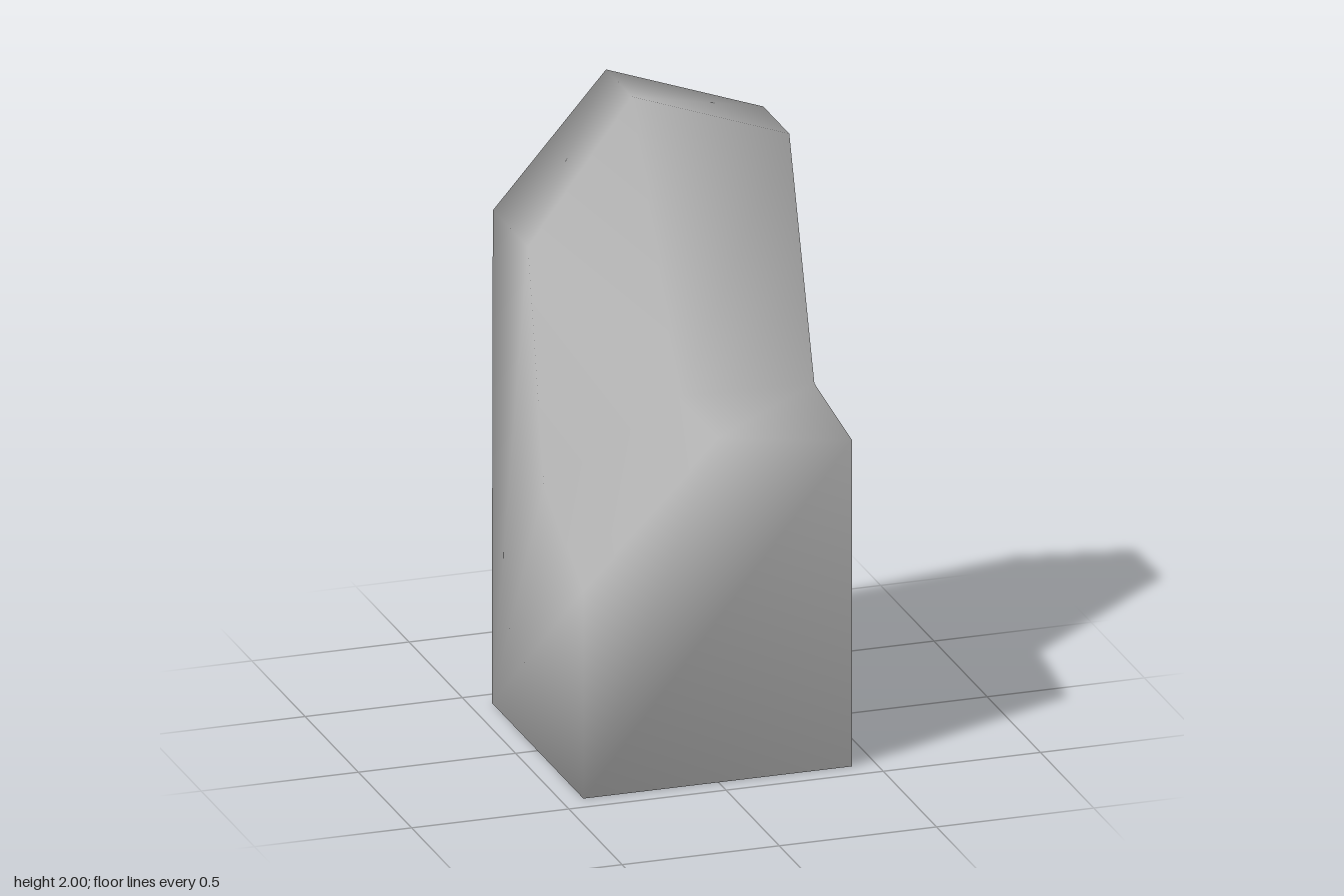
import * as THREE from 'three';

export function createModel() {
  const group = new THREE.Group();
  group.name = 'rock';
  const stone = new THREE.MeshStandardMaterial({ color: 0xbcbcbc });
  stone.name = 'grey stone';

  // corners, in rings from the ground up
  const points = [
    [-0.43, 0, 0.43], [0.425, 0, 0.43], [0.43, 0, -0.43], [-0.43, 0, -0.43], // 0-3 base
    [-0.43, 0.67, 0.43], [0, 1.11, 0.43], [0.425, 1.05, 0.43],               // 4-6 ledge front
    [-0.43, 0.87, 0.06], [0, 1.11, 0.06], [0.43, 1.1, 0.06],                 // 7-9 ledge back
    [-0.43, 1.59, -0.09], [-0.07, 2, -0.175], [0.43, 1.82, -0.175],          // 10-12 crest front
    [-0.43, 1.59, -0.42], [-0.07, 2, -0.42], [0.43, 1.82, -0.42],            // 13-15 crest back
  ];

  // faces, each fanned from its first corner
  const faces = [
    [0, 1, 6, 5, 4],        // front
    [1, 2, 15, 12, 9, 6],   // +x side
    [2, 3, 13, 14, 15],     // back
    [3, 0, 4, 7, 10, 13],   // -x side
    [4, 5, 8, 7],           // sloping ledge
    [5, 6, 9, 8],           // level ledge
    [8, 9, 12, 11, 10, 7],  // upper front slope
    [10, 11, 14, 13],       // crest, -x side
    [11, 12, 15, 14],       // crest, +x side
    [0, 3, 2, 1],           // underside
  ];
  const index = [];
  for (const f of faces) {
    for (let i = 1; i < f.length - 1; i++) index.push(f[0], f[i], f[i + 1]);
  }

  // shared corners give the soft, rounded shading
  const geometry = new THREE.BufferGeometry();
  geometry.setAttribute('position', new THREE.Float32BufferAttribute(points.flat(), 3));
  geometry.setIndex(index);
  geometry.computeVertexNormals();

  const boulder = new THREE.Mesh(geometry, stone);
  boulder.name = 'boulder';
  group.add(boulder);
  return group;
}
